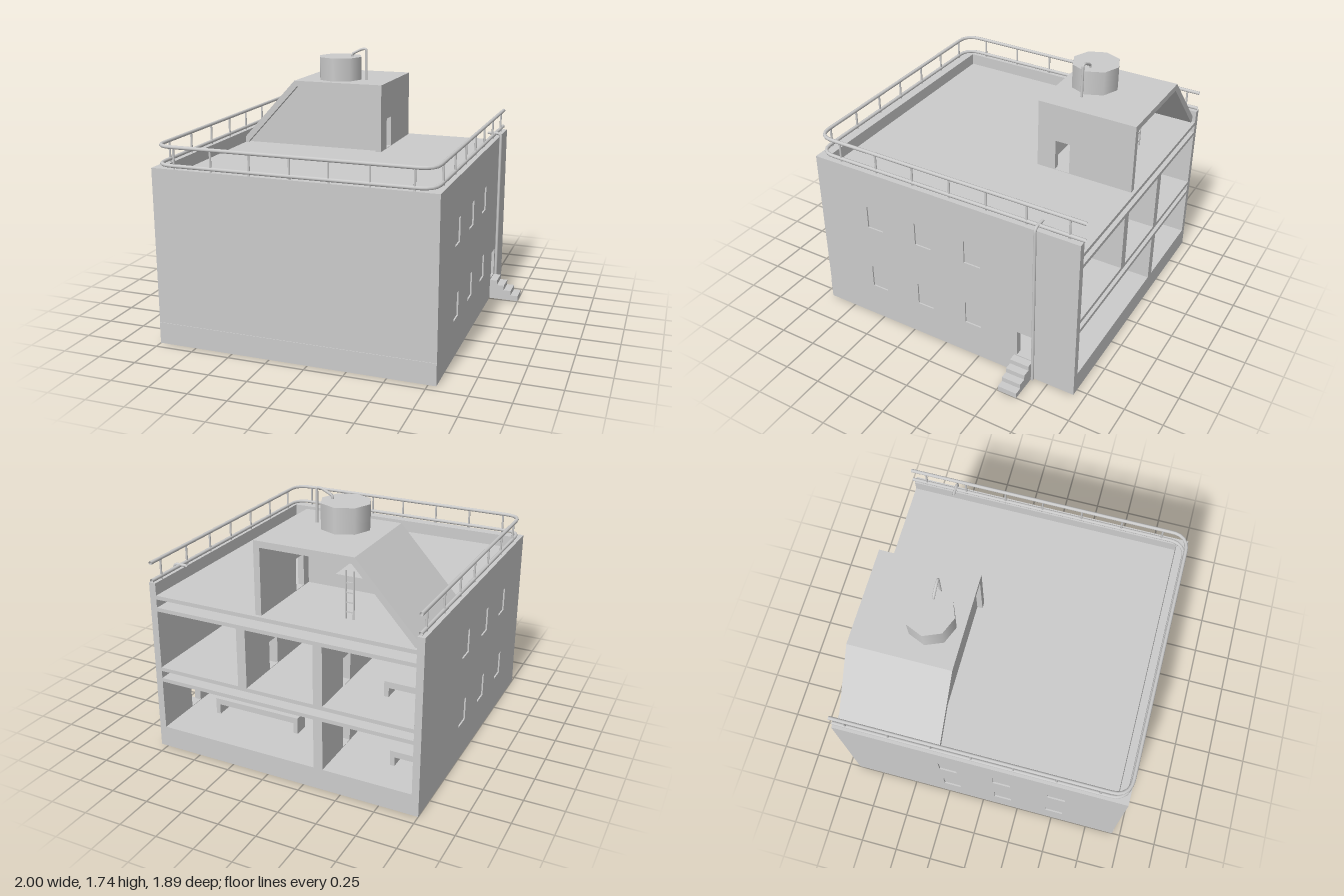
import * as THREE from 'three';

const mat = new THREE.MeshStandardMaterial({ color: 0xcccccc, side: THREE.DoubleSide });
const X0 = -1, X1 = 0.8, Z0 = -0.93, Z1 = 0.94, T = 0.045;
const FRONT_IN = 0.87, BASE = 0.14, TOP = 1.14, ROOF = 1.06;

export function createModel() {
  const model = new THREE.Group();

  const add = (name, geometry, parent = model) => {
    const mesh = new THREE.Mesh(geometry, mat);
    mesh.name = name;
    parent.add(mesh);
    return mesh;
  };
  const group = (name) => {
    const g = new THREE.Group();
    g.name = name;
    model.add(g);
    return g;
  };
  // Box given by its limits on each axis
  const box = (name, x0, x1, y0, y1, z0, z1, parent) => {
    const g = new THREE.BoxGeometry(x1 - x0, y1 - y0, z1 - z0);
    g.translate((x0 + x1) / 2, (y0 + y1) / 2, (z0 + z1) / 2);
    return add(name, g, parent);
  };
  const polygon = (pts) => new THREE.Shape(pts.map(([x, y]) => new THREE.Vector2(x, y)));
  const rect = (a0, a1, b0, b1) => polygon([[a0, b0], [a1, b0], [a1, b1], [a0, b1]]);
  const extrude = (shape, depth) => new THREE.ExtrudeGeometry(shape, { depth, bevelEnabled: false });
  // Wall across x, with openings listed as [z0, z1, y0, y1]
  const sideWall = (name, xOuter, thick, z0, z1, y0, y1, openings, parent) => {
    const shape = rect(z0, z1, y0, y1);
    openings.forEach((o) => shape.holes.push(rect(...o)));
    const mesh = add(name, extrude(shape, thick), parent);
    mesh.rotation.y = -Math.PI / 2;
    mesh.position.x = xOuter;
    return mesh;
  };
  // Pipe along straight runs with rounded corners
  const pipe = (name, pts, r, bend, parent) => {
    const v = pts.map((p) => new THREE.Vector3(...p));
    const path = new THREE.CurvePath();
    let from = v[0];
    for (let i = 1; i < v.length - 1; i++) {
      const a = v[i].clone().add(v[i - 1].clone().sub(v[i]).setLength(bend));
      const b = v[i].clone().add(v[i + 1].clone().sub(v[i]).setLength(bend));
      path.add(new THREE.LineCurve3(from, a));
      path.add(new THREE.QuadraticBezierCurve3(a, v[i], b));
      from = b;
    }
    path.add(new THREE.LineCurve3(from, v[v.length - 1]));
    return add(name, new THREE.TubeGeometry(path, 160, r, 8, false), parent);
  };
  const post = (name, x, y0, y1, z, r, parent) => {
    const g = new THREE.CylinderGeometry(r, r, y1 - y0, 8);
    g.translate(x, (y0 + y1) / 2, z);
    return add(name, g, parent);
  };

  // Plinth: a hollow skirt, open below
  const plinth = group('plinth');
  box('plinthFront', X0, X1, 0, BASE, Z1 - 0.01, Z1 + 0.004, plinth);
  box('plinthBack', X0, X1, 0, BASE, Z0, Z0 + 0.012, plinth);
  box('plinthLeft', X1 - 0.012, X1, 0, BASE, Z0, Z1, plinth);
  box('plinthRight', X0, X0 + 0.012, 0, BASE, Z0, Z1, plinth);
  box('groundFloor', X0, X1, BASE - 0.015, BASE, Z0, Z1, plinth);

  // Outer walls; the back stays open
  box('frontWall', X0, X1, BASE, TOP, FRONT_IN, Z1);
  const windows = [];
  for (const z of [0.51, 0.147, -0.212])
    for (const y of [0.325, 0.8]) windows.push([z - 0.058, z + 0.058, y - 0.08, y + 0.08]);
  const door = [-0.63, -0.53, BASE + 0.003, 0.33];
  sideWall('leftWall', X1, T, Z0, FRONT_IN, BASE, TOP, [...windows, door]);
  sideWall('rightWall', X0 + T, T, Z0, FRONT_IN, BASE, TOP, windows);

  // Window panes set into both side walls
  const panes = group('windowPanes');
  for (const [z0, z1, y0, y1] of windows) {
    box('windowPane', X1 - 0.03, X1 - 0.01, y0, y1, z0, z1, panes);
    box('windowPane', X0 + 0.01, X0 + 0.03, y0, y1, z0, z1, panes);
  }

  // Each storey is closed by two thin plates with an open gap between
  const floors = group('floorPlates');
  for (const [name, y] of [['lowerCeiling', 0.47], ['upperFloor', 0.545], ['upperCeiling', 0.955], ['roofPlate', ROOF - 0.025]])
    box(name, X0 + T, X1 - T, y, y + 0.025, Z0, FRONT_IN, floors);

  // Cross partitions with doorways in line with the entrance
  const rooms = group('rooms');
  for (const [x, y0, y1] of [[0.16, 0.57, 0.955], [-0.35, 0.57, 0.955], [-0.35, BASE, 0.47]])
    sideWall('partition', x + 0.03, 0.06, Z0, FRONT_IN, y0, y1, [[-0.65, -0.55, y0 + 0.003, y0 + 0.19]], rooms);

  // Simple furniture
  const furniture = group('furniture');
  const bench = (x0, x1, y, h, z0, z1) => {
    box('benchTop', x0, x1, y + h - 0.04, y + h, z0, z1, furniture);
    for (const x of [x0, x1 - 0.03]) box('benchLeg', x, x + 0.03, y, y + h - 0.04, z0, z1, furniture);
  };
  bench(-0.05, 0.56, BASE, 0.11, -0.63, -0.53);
  bench(-0.92, -0.72, BASE, 0.1, -0.7, -0.6);
  bench(-0.92, -0.65, 0.57, 0.1, -0.65, -0.55);

  // Entrance steps
  const steps = group('entranceSteps');
  for (let i = 0; i < 4; i++)
    box('step', X1 + i * 0.05, X1 + (i + 1) * 0.05, 0, 0.135 - i * 0.033, -0.64, -0.51, steps);

  // Roof house: sloped shell, recessed front panel, side wall with door, open back
  const house = group('roofHouse');
  const shell = polygon([
    [-0.955, 1.1], [-0.57, 1.52], [0.065, 1.52], [0.065, 1.48],
    [-0.552, 1.48], [-0.937, ROOF], [-0.955, ROOF],
  ]);
  add('slopedRoof', extrude(shell, 0.652), house).position.z = -0.907;
  const panel = polygon([[-0.937, ROOF], [0.025, ROOF], [0.025, 1.48], [-0.552, 1.48]]);
  add('frontPanel', extrude(panel, 0.025), house).position.z = -0.315;
  sideWall('houseWall', 0.065, 0.04, -0.907, -0.255, ROOF, 1.48, [[-0.48, -0.38, ROOF + 0.003, 1.27]], house);

  // Landing with ladder inside the roof house
  box('landing', -0.57, -0.36, 1.3, 1.32, -0.71, -0.5, house);
  for (const x of [-0.48, -0.43]) post('ladderRail', x, ROOF, 1.36, -0.72, 0.006, house);
  for (let y = 1.1; y < 1.32; y += 0.06) box('ladderRung', -0.48, -0.43, y, y + 0.008, -0.724, -0.716, house);

  // Water tank and its filling pipe
  const tank = new THREE.CylinderGeometry(0.155, 0.155, 0.16, 8);
  tank.translate(-0.303, 1.598, -0.46);
  add('waterTank', tank);
  pipe('tankPipe', [[-0.112, 1.52, -0.46], [-0.112, 1.735, -0.46], [-0.145, 1.733, -0.46],
    [-0.215, 1.698, -0.46], [-0.215, 1.66, -0.46]], 0.009, 0.015);

  // Railing around three sides
  const railing = group('railing');
  const rx0 = -0.973, rx1 = 0.768, rz = 0.928;
  for (const y of [1.16, 1.275])
    pipe('rail', [[rx1, y, -0.945], [rx1, y, rz], [rx0, y, rz], [rx0, y, -0.93]], 0.012, 0.11, railing);
  for (const x of [-0.85, -0.605, -0.355, -0.1, 0.14, 0.39, 0.65])
    post('railPost', x, TOP, 1.275, rz, 0.007, railing);
  for (const z of [0.76, 0.49, 0.22, -0.045, -0.3, -0.57, -0.845])
    for (const x of [rx0, rx1]) post('railPost', x, TOP, 1.275, z, 0.007, railing);

  // Drain pipe down the side by the door
  pipe('drainPipe', [[0.72, 1.165, -0.648], [0.811, 1.165, -0.648], [0.811, 0.0, -0.648]], 0.01, 0.03);

  return model;
}
